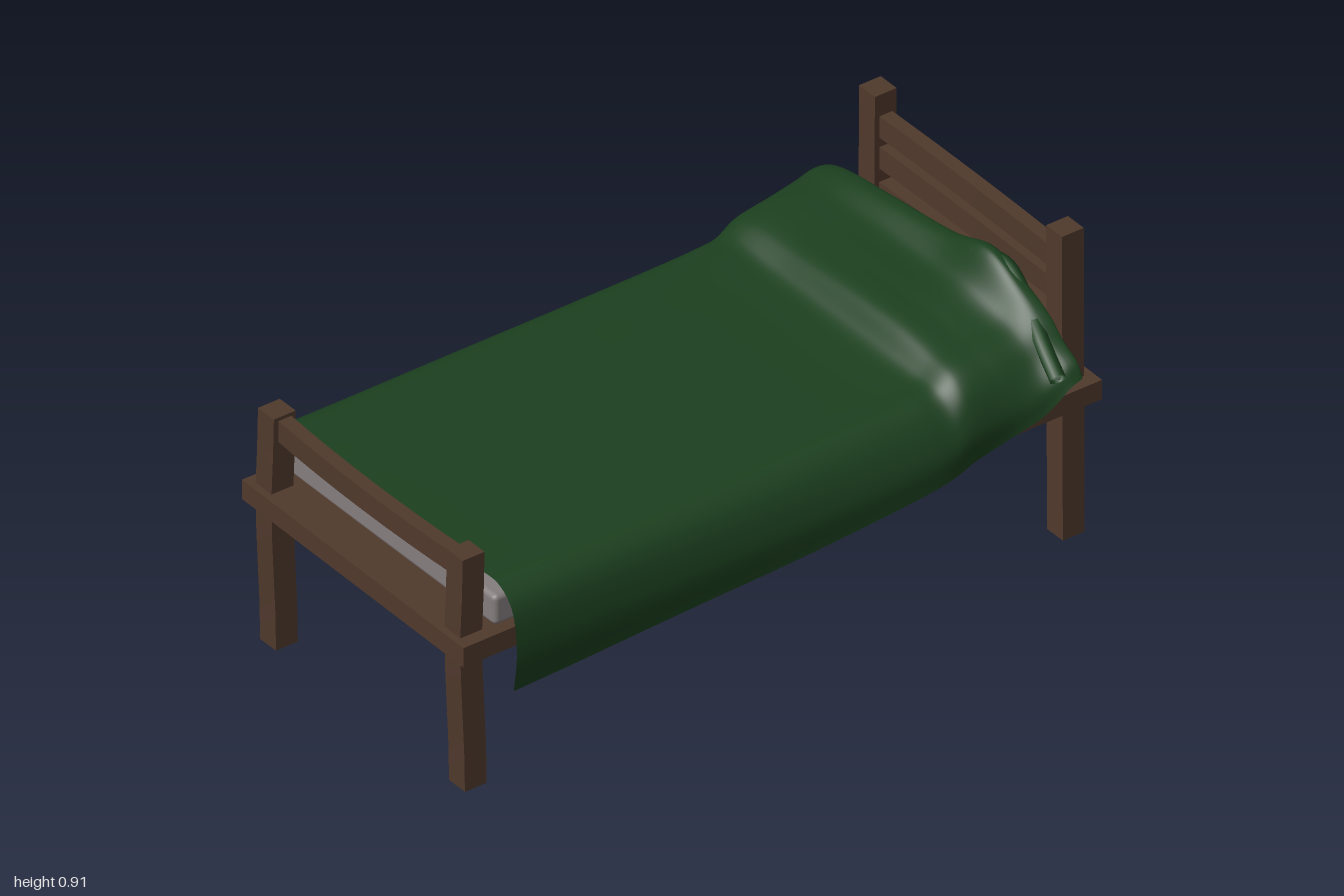
import * as THREE from 'three';
import { RoundedBoxGeometry } from 'three/addons/geometries/RoundedBoxGeometry.js';

const wood = new THREE.MeshStandardMaterial({ color: 0x50392c });
const mattressMat = new THREE.MeshStandardMaterial({ color: 0x857d7e });
const pillowMat = new THREE.MeshStandardMaterial({ color: 0xc4b5bb });
const cloth = new THREE.MeshStandardMaterial({ color: 0x1c401f, side: THREE.DoubleSide });

// Box from min/max corners; bend(v) nudges its vertices for a hand-cut look
function plank(name, x0, x1, y0, y1, z0, z1, bend, segX = 1, segY = 1) {
  const g = new THREE.BoxGeometry(x1 - x0, y1 - y0, z1 - z0, segX, segY, 1);
  g.translate((x0 + x1) / 2, (y0 + y1) / 2, (z0 + z1) / 2);
  if (bend) {
    const p = g.attributes.position, v = new THREE.Vector3();
    for (let i = 0; i < p.count; i++) {
      bend(v.fromBufferAttribute(p, i));
      p.setXYZ(i, v.x, v.y, v.z);
    }
    g.computeVertexNormals();
  }
  const m = new THREE.Mesh(g, wood);
  m.name = name;
  return m;
}

// Surface lofted smoothly through rows of points
function loft(rows, nu, nv) {
  const sections = rows.map(r => new THREE.CatmullRomCurve3(r, false, 'centripetal').getPoints(nu));
  const pos = [], idx = [];
  for (let i = 0; i <= nu; i++) {
    const along = new THREE.CatmullRomCurve3(sections.map(s => s[i]), false, 'centripetal');
    for (const p of along.getPoints(nv)) pos.push(p.x, p.y, p.z);
  }
  const w = nv + 1;
  for (let i = 0; i < nu; i++) for (let j = 0; j < nv; j++) {
    const a = i * w + j, b = a + w;
    idx.push(a, b, a + 1, b, b + 1, a + 1);
  }
  const g = new THREE.BufferGeometry();
  g.setAttribute('position', new THREE.Float32BufferAttribute(pos, 3));
  g.setIndex(idx);
  g.computeVertexNormals();
  return g;
}

function makeBlanket() {
  // z, right hem x/y, top heights (right, middle, crest, left), left hem x/y
  const stations = [
    [0.86, -0.46, 0.36, 0.592, 0.59, 0.59, 0.588, 0.535, 0.30],
    [0.70, -0.52, 0.33, 0.592, 0.592, 0.592, 0.59, 0.54, 0.31],
    [0.35, -0.485, 0.285, 0.592, 0.59, 0.59, 0.59, 0.55, 0.335],
    [-0.05, -0.475, 0.262, 0.592, 0.592, 0.592, 0.592, 0.56, 0.36],
    [-0.43, -0.475, 0.265, 0.597, 0.60, 0.60, 0.60, 0.57, 0.40],
    [-0.50, -0.475, 0.27, 0.605, 0.615, 0.615, 0.605, 0.565, 0.41],
    [-0.56, -0.475, 0.275, 0.64, 0.668, 0.668, 0.64, 0.558, 0.425],
    [-0.66, -0.50, 0.30, 0.66, 0.68, 0.68, 0.65, 0.56, 0.45],
    [-0.76, -0.56, 0.355, 0.67, 0.69, 0.705, 0.66, 0.585, 0.50],
    [-0.83, -0.61, 0.39, 0.68, 0.74, 0.79, 0.695, 0.605, 0.57],
    [-0.86, -0.60, 0.40, 0.672, 0.735, 0.78, 0.695, 0.605, 0.58],
    [-0.85, -0.575, 0.40, 0.65, 0.68, 0.70, 0.665, 0.59, 0.56],
  ];
  const rows = stations.map(([z, rx, ry, tr, tm, tc, tl, lx, ly]) => {
    const flare = THREE.MathUtils.smoothstep(-z, 0.65, 0.83);
    const P = (x, y) => new THREE.Vector3(x, y, z);
    return [
      P(rx, ry),
      P((rx - 0.455 - 0.02 * flare) / 2, (ry + tr) / 2),
      P(-0.45 - 0.02 * flare, tr - 0.035), P(-0.40, tr), P(-0.18, (tr + tm) / 2),
      P(0.08, tm), P(0.25, tc), P(0.38, (tc + tl) / 2), P(0.47, tl),
      P(0.525, tl - 0.045), P((lx + 0.56) / 2, (tl + ly) / 2 - 0.02), P(lx, ly),
    ];
  });
  const blanket = new THREE.Group();
  blanket.name = 'blanket';
  const sheet = new THREE.Mesh(loft(rows, 66, 110), cloth);
  sheet.name = 'blanketSheet';

  // Turned-over fold at the head end
  const path = new THREE.CatmullRomCurve3([
    [0.20, 0.755, -0.83], [0.30, 0.76, -0.85], [0.40, 0.705, -0.84],
    [0.50, 0.655, -0.81], [0.595, 0.60, -0.79],
  ].map(p => new THREE.Vector3(...p)));
  const fold = new THREE.Mesh(new THREE.TubeGeometry(path, 24, 0.022, 8), cloth);
  fold.name = 'blanketFold';
  blanket.add(sheet, fold);
  return blanket;
}

export function createModel() {
  const bed = new THREE.Group();
  bed.name = 'bed';

  // Base board, slightly out of level
  bed.add(plank('baseBoard', -0.415, 0.505, 0.415, 0.473, -0.995, 0.995, v => { v.y -= 0.01 * (v.x + 0.05); }));

  // Corner posts
  for (const [side, x] of [['right', -0.385], ['left', 0.40]]) {
    bed.add(plank(side + 'FootPost', x, x + 0.066, 0, 0.698, 0.90, 0.968,
      v => { v.z += 0.012 * Math.sin(v.y * 7 - 1.6) * (v.y < 0.5 ? 0.6 : 0.3); }, 1, 6));
    bed.add(plank(side + 'HeadPost', x, x + 0.066, 0, 0.912, -0.97, -0.902,
      v => { v.x += x < 0 ? 0.004 * v.y : -0.004 * v.y; }, 1, 4));
  }

  // Rails, gently bowed
  const rail = (name, y0, y1, z, bow) => bed.add(plank(name, -0.34, 0.42, y0, y1, z - 0.02, z + 0.02, v => {
    const s = 1 - ((v.x - 0.04) / 0.38) ** 2;
    v.z += bow * s;
    v.y -= 0.008 * (v.x - 0.04);
  }, 8));
  rail('footRail', 0.622, 0.685, 0.932, 0.012);
  [0.813, 0.72, 0.615].forEach((y, i) => rail('headRail' + (i + 1), y - 0.032, y + 0.032, -0.936, -0.005));

  // Bedding
  const mattress = new THREE.Mesh(new RoundedBoxGeometry(0.86, 0.09, 1.75, 2, 0.015), mattressMat);
  mattress.position.set(0.045, 0.51, 0);
  mattress.name = 'mattress';
  const pillow = new THREE.Mesh(new RoundedBoxGeometry(0.78, 0.085, 0.32, 4, 0.035), pillowMat);
  pillow.position.set(0.04, 0.59, -0.725);
  pillow.name = 'pillow';
  bed.add(mattress, pillow, makeBlanket());
  return bed;
}
